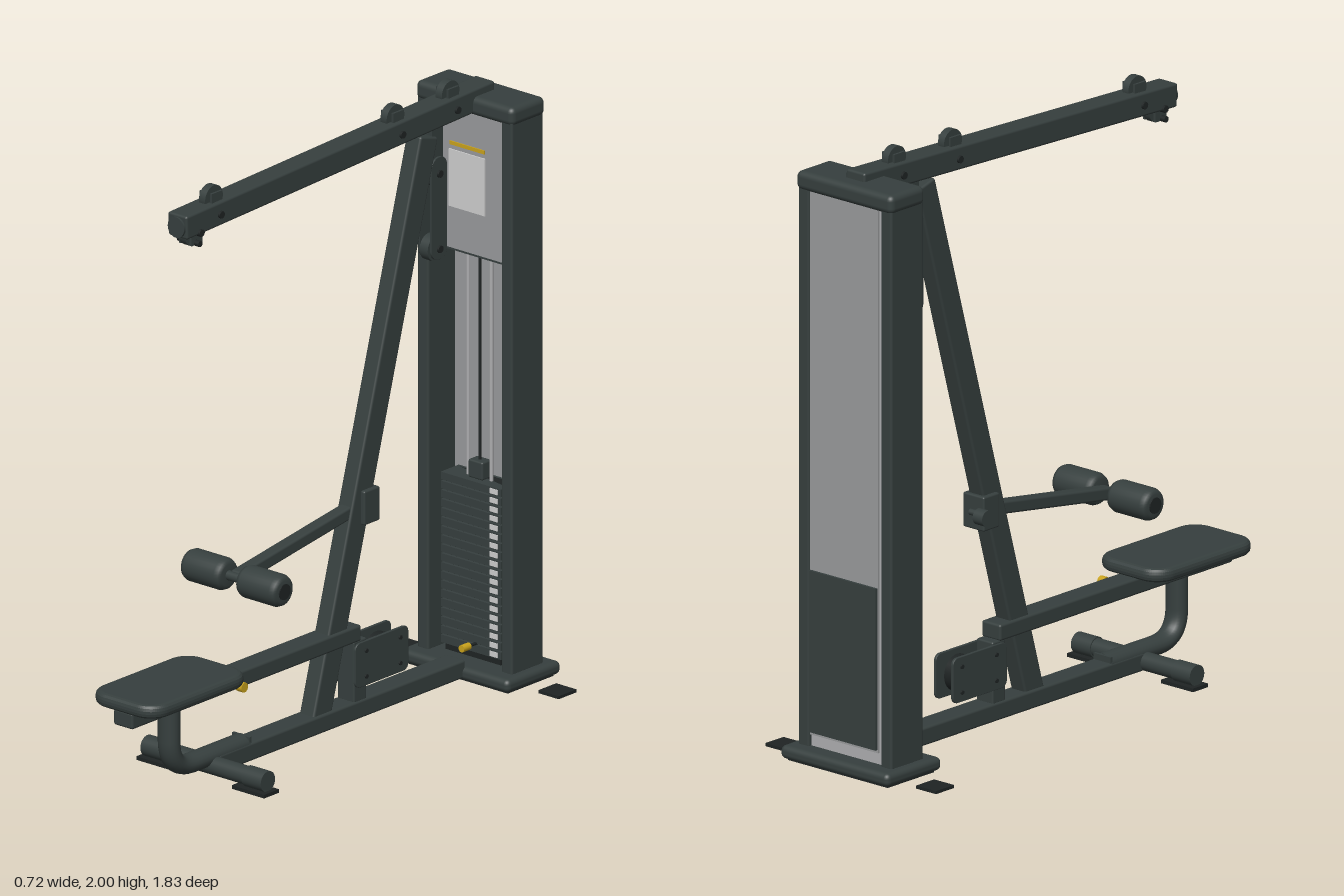
import * as THREE from 'three';
import { RoundedBoxGeometry } from 'three/addons/geometries/RoundedBoxGeometry.js';

const mat = (name, color) => {
  const m = new THREE.MeshStandardMaterial({ color });
  m.name = name;
  return m;
};

export function createModel() {
  const root = new THREE.Group();
  root.name = 'rowMachine';
  const frame = mat('charcoal frame', 0x363f3e);
  const rubber = mat('black rubber', 0x1f2424);
  const grey = mat('grey panel', 0x999a9c);
  const light = mat('light trim', 0xaeaeb0);
  const white = mat('pale label', 0xcfcfcf);
  const yellow = mat('yellow accent', 0xc9a21c);

  const add = (name, geo, m, x = 0, y = 0, z = 0, parent = root) => {
    const mesh = new THREE.Mesh(geo, m);
    mesh.name = name;
    mesh.position.set(x, y, z);
    parent.add(mesh);
    return mesh;
  };
  // Box given by its limits on each axis; r rounds its edges
  const box = (name, m, x0, x1, y0, y1, z0, z1, r = 0) => {
    const s = [x1 - x0, y1 - y0, z1 - z0];
    const geo = r ? new RoundedBoxGeometry(...s, 3, r) : new THREE.BoxGeometry(...s);
    return add(name, geo, m, (x0 + x1) / 2, (y0 + y1) / 2, (z0 + z1) / 2);
  };
  // Cylinder along x
  const axle = (name, m, r, len, x, y, z, seg = 28) =>
    add(name, new THREE.CylinderGeometry(r, r, len, seg).rotateZ(Math.PI / 2), m, x, y, z);
  // Rectangular beam between two points [y, z] in the centre plane
  const beam = (name, m, a, b, w, h) => {
    const dy = b[0] - a[0], dz = b[1] - a[1];
    const mesh = add(name, new RoundedBoxGeometry(w, h, Math.hypot(dy, dz), 2, 0.008), m,
      0, (a[0] + b[0]) / 2, (a[1] + b[1]) / 2);
    mesh.rotation.x = -Math.atan2(dy, dz);
    return mesh;
  };
  // Slab lying flat or upright, with rounded corners
  const roundedRect = (w, h, r) => {
    const s = new THREE.Shape();
    s.absarc(w / 2 - r, h / 2 - r, r, 0, Math.PI / 2);
    s.absarc(r - w / 2, h / 2 - r, r, Math.PI / 2, Math.PI);
    s.absarc(r - w / 2, r - h / 2, r, Math.PI, Math.PI * 1.5);
    s.absarc(w / 2 - r, r - h / 2, r, Math.PI * 1.5, Math.PI * 2);
    return s;
  };
  const slab = (w, h, r, depth, bevel) => new THREE.ExtrudeGeometry(roundedRect(w - 2 * bevel, h - 2 * bevel, r), {
    depth: depth - 2 * bevel, bevelSize: bevel, bevelThickness: bevel, bevelSegments: 3, curveSegments: 8,
  }).translate(0, 0, bevel - depth / 2);

  // Tower: base, columns and cap
  box('towerBase', frame, -0.228, 0.228, 0.008, 0.052, -0.91, -0.655, 0.018);
  box('towerBaseUnderside', rubber, -0.21, 0.21, 0.002, 0.012, -0.89, -0.675);
  box('towerCap', frame, -0.203, 0.203, 1.868, 1.93, -0.865, -0.705, 0.02);
  for (const s of [-1, 1]) {
    const c = s * 0.174;
    box('towerColumn', frame, c - 0.023, c + 0.023, 0.045, 1.885, -0.858, -0.71, 0.008);
    const f = s * 0.317;
    box('towerFloorPad', rubber, f - 0.042, f + 0.042, 0, 0.01, -0.83, -0.746);
  }

  // Tower panels
  box('backTrim', light, -0.153, 0.153, 0.05, 1.88, -0.845, -0.84);
  box('backPanel', grey, -0.135, 0.153, 0.09, 1.88, -0.852, -0.845);
  box('backLowerPanel', frame, -0.132, 0.148, 0.1, 0.63, -0.861, -0.852);
  box('innerPanel', grey, -0.153, 0.153, 0.58, 1.88, -0.84, -0.837);
  box('frontUpperPanel', grey, -0.153, 0.153, 1.4, 1.88, -0.732, -0.724);
  box('frontPanelEdge', frame, -0.153, 0.153, 1.396, 1.402, -0.732, -0.723);
  box('instructionPlate', white, -0.075, 0.075, 1.54, 1.73, -0.724, -0.72);
  box('accentLine', yellow, -0.072, 0.072, 1.745, 1.757, -0.724, -0.72);

  // Weight stack on guide rods
  const plates = 19, pitch = 0.03;
  for (let i = 0; i < plates; i++) {
    const y = 0.075 + i * pitch;
    box('weightPlate', frame, -0.125, 0.125, y, y + 0.025, -0.825, -0.74);
    box('weightNumberPlate', white, 0.08, 0.112, y + 0.004, y + 0.021, -0.74, -0.737);
  }
  box('stackCore', rubber, -0.115, 0.115, 0.05, 0.64, -0.815, -0.75);
  box('stackCarriage', frame, -0.03, 0.03, 0.64, 0.7, -0.805, -0.76, 0.006);
  for (const s of [-1, 1]) {
    add('guideRod', new THREE.CylinderGeometry(0.006, 0.006, 1.83, 12), light, s * 0.048, 0.96, -0.782);
  }
  add('liftRod', new THREE.CylinderGeometry(0.005, 0.005, 0.75, 10), rubber, 0, 1.05, -0.782);

  // Base rail and front foot
  box('baseRail', frame, -0.04, 0.04, 0.015, 0.075, -0.67, 0.49, 0.008);
  axle('frontFootTube', frame, 0.03, 0.49, 0, 0.043, 0.5);
  for (const s of [-1, 1]) {
    axle('frontFootCap', frame, 0.034, 0.08, s * 0.21, 0.043, 0.5);
    box('frontFootPlate', rubber, s * 0.198 - 0.067, s * 0.198 + 0.067, 0, 0.012, 0.465, 0.535);
  }

  // Leaning mast and overhead boom
  beam('mast', frame, [0.05, -0.003], [1.85, -0.512], 0.062, 0.085);
  beam('boom', frame, [1.865, 0.643], [1.919, -0.81], 0.08, 0.078);

  // Boom pulleys, their cheek plates and bolts
  const pulley = (y, z, r, cheekY) => {
    axle('pulleyWheel', frame, r, 0.026, 0, y, z);
    axle('pulleyBolt', rubber, 0.012, 0.096, 0, cheekY, z, 12);
    for (const s of [-1, 1]) {
      box('pulleyCheek', frame, s * 0.022 - 0.004, s * 0.022 + 0.004, y - 0.035, y + 0.022, z - 0.025, z + 0.025);
    }
  };
  pulley(1.918, 0.485, 0.042, 1.87);
  pulley(1.95, -0.37, 0.042, 1.9);
  pulley(1.958, -0.63, 0.042, 1.91);
  pulley(1.828, 0.58, 0.042, 1.835);
  axle('boomEndPin', rubber, 0.01, 0.09, 0, 1.8, 0.585, 12);
  add('boomEndCap', new THREE.CylinderGeometry(0.034, 0.034, 0.01, 24).rotateX(Math.PI / 2), frame, 0, 1.862, 0.645);

  // Floating double pulley hanging under the boom
  box('pulleyHanger', frame, -0.02, 0.02, 1.72, 1.89, -0.585, -0.535);
  for (const s of [-1, 1]) {
    add('pulleyHousing', slab(0.074, 0.34, 0.034, 0.008, 0.001).rotateY(Math.PI / 2), frame, s * 0.024, 1.6, -0.56);
  }
  for (const y of [1.715, 1.465]) {
    axle('hangingWheel', frame, 0.043, 0.034, 0, y, -0.56);
    axle('hangingBolt', rubber, 0.012, 0.07, 0, y, -0.56, 12);
  }

  // Seat rail, bent support tube and rear post
  box('seatRail', frame, -0.04, 0.04, 0.272, 0.326, -0.18, 0.9, 0.008);
  const bend = new THREE.CurvePath();
  const v = (y, z) => new THREE.Vector3(0, y, z);
  bend.add(new THREE.LineCurve3(v(0.285, 0.682), v(0.17, 0.682)));
  bend.add(new THREE.QuadraticBezierCurve3(v(0.17, 0.682), v(0.068, 0.682), v(0.068, 0.58)));
  bend.add(new THREE.LineCurve3(v(0.068, 0.58), v(0.068, 0.34)));
  add('seatSupportTube', new THREE.TubeGeometry(bend, 40, 0.031, 18).scale(1.25, 1, 1), frame);
  box('seatTubeEnd', frame, -0.036, 0.036, 0.05, 0.095, 0.335, 0.345);
  box('rearPost', frame, -0.035, 0.035, 0.07, 0.275, -0.21, -0.15, 0.006);

  // Seat cushion
  add('seatPad', slab(0.28, 0.47, 0.055, 0.045, 0.018).rotateX(-Math.PI / 2), frame, 0, 0.345, 0.68);

  // Low pulley box
  for (const s of [-1, 1]) {
    add('lowPulleyPlate', slab(0.25, 0.148, 0.02, 0.01, 0.002).rotateY(Math.PI / 2), frame, s * 0.036, 0.193, -0.275);
    for (const [y, z] of [[0.235, -0.2], [0.15, -0.2], [0.235, -0.36], [0.15, -0.36]]) {
      axle('plateBolt', rubber, 0.007, 0.006, s * 0.043, y, z, 10);
    }
  }
  axle('lowPulleyWheel', rubber, 0.06, 0.04, 0, 0.193, -0.315);

  // Thigh roller arm with its sleeve and adjusting knob
  beam('rollerArm', frame, [0.622, 0.365], [0.705, -0.19], 0.045, 0.042);
  box('armSleeve', frame, -0.045, 0.045, 0.652, 0.765, -0.262, -0.188, 0.006);
  axle('armAxle', frame, 0.016, 0.36, 0, 0.622, 0.363, 16);
  const roll = [[0, -0.082], [0.035, -0.082], [0.047, -0.076], [0.053, -0.062], [0.053, 0.062], [0.047, 0.076], [0.035, 0.082], [0, 0.082]]
    .map(([r, h]) => new THREE.Vector2(r, h));
  for (const s of [-1, 1]) {
    add('foamRoller', new THREE.LatheGeometry(roll, 32).rotateZ(Math.PI / 2), frame, s * 0.115, 0.622, 0.363);
    axle('rollerEndCap', rubber, 0.026, 0.006, s * 0.198, 0.622, 0.363, 20);
  }
  axle('armKnob', frame, 0.026, 0.04, -0.068, 0.713, -0.292);
  axle('armKnobStem', frame, 0.01, 0.06, -0.03, 0.713, -0.275, 12);

  // Yellow adjusters
  axle('seatKnobStem', rubber, 0.007, 0.05, 0.055, 0.297, 0.43, 12);
  axle('seatKnob', yellow, 0.016, 0.024, 0.08, 0.297, 0.43, 16);
  add('stackPin', new THREE.CylinderGeometry(0.012, 0.012, 0.035, 14).rotateX(Math.PI / 2), yellow, 0.02, 0.105, -0.69);
  add('stackPinShaft', new THREE.CylinderGeometry(0.005, 0.005, 0.05, 10).rotateX(Math.PI / 2), rubber, 0.02, 0.105, -0.725);

  return root;
}
